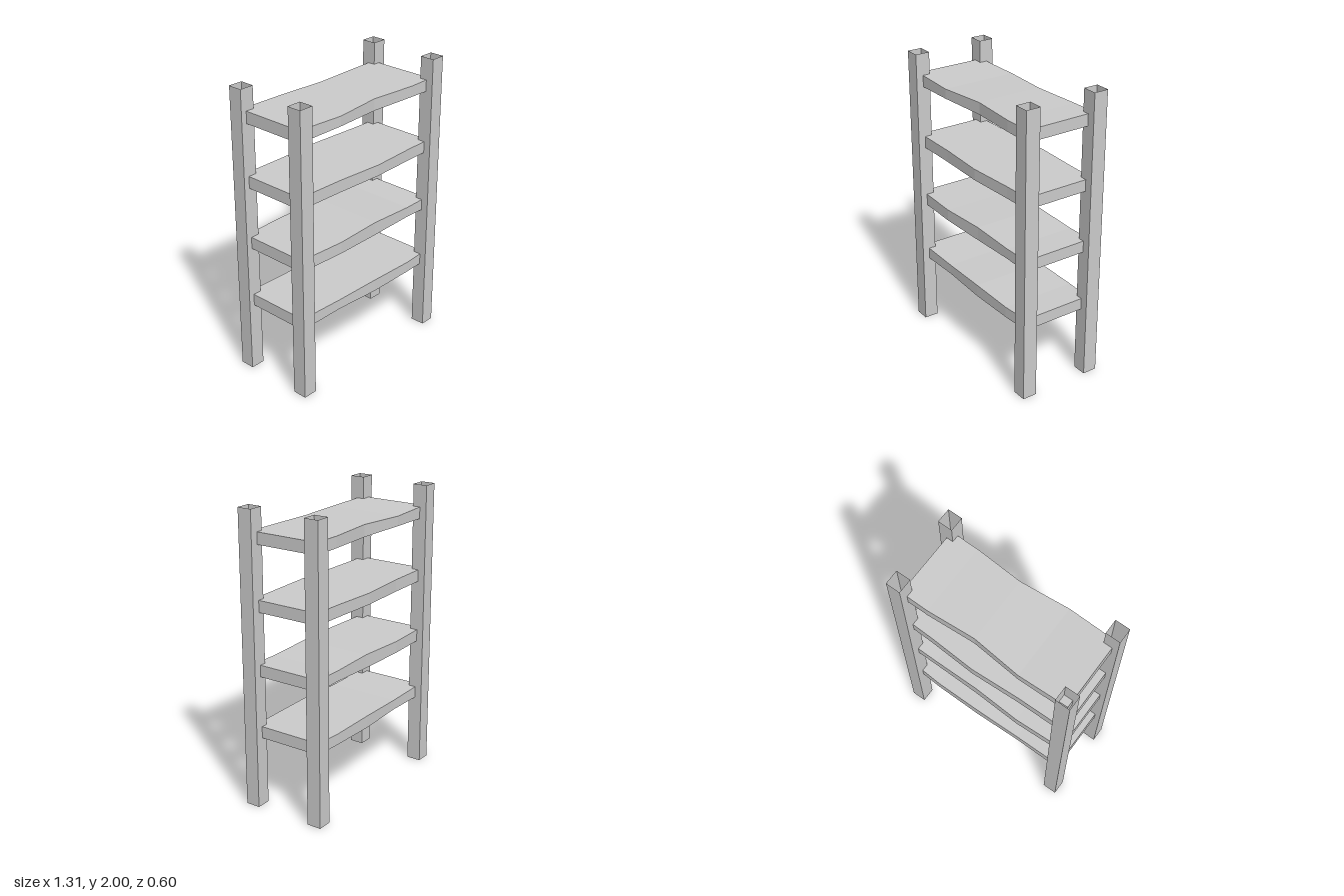
import * as THREE from 'three';

const material = new THREE.MeshStandardMaterial({ color: 0xcccccc, flatShading: true });
const openMaterial = new THREE.MeshStandardMaterial({ color: 0xcccccc, flatShading: true, side: THREE.DoubleSide });

// Cross-section positions along every plank
const stations = [-0.615, -0.27, 0.07, 0.4, 0.6];

// Plank with a hand-hewn outline: half depth and half thickness at each station
function makeShelf(y, depths, thicknesses) {
  const geometry = new THREE.BoxGeometry(4, 2, 2, 4, 1, 1);
  const p = geometry.attributes.position;
  for (let i = 0; i < p.count; i++) {
    const s = Math.round(p.getX(i) + 2);
    p.setXYZ(i, stations[s], p.getY(i) * thicknesses[s], p.getZ(i) * depths[s]);
  }
  geometry.computeVertexNormals();
  const shelf = new THREE.Mesh(geometry, material);
  shelf.position.y = y;
  return shelf;
}

export function createModel() {
  const group = new THREE.Group();

  // Four hollow square posts, open at both ends
  const postGeometry = new THREE.CylinderGeometry(0.1 / Math.SQRT2, 0.1 / Math.SQRT2, 2, 4, 1, true);
  postGeometry.rotateY(Math.PI / 4);
  for (const x of [-1, 1]) {
    for (const z of [-1, 1]) {
      const post = new THREE.Mesh(postGeometry, openMaterial);
      post.name = (z > 0 ? 'front' : 'back') + (x > 0 ? 'Left' : 'Right') + 'Post';
      post.position.set(x * 0.604, 1, z * 0.25);
      group.add(post);
    }
  }

  // Four uneven shelves, bottom to top: height, inner half depths, inner half thicknesses
  const shelves = [
    [0.52, [0.252, 0.262, 0.262], [0.034, 0.042, 0.037]],
    [0.945, [0.265, 0.25, 0.25], [0.04, 0.046, 0.035]],
    [1.375, [0.255, 0.272, 0.255], [0.041, 0.038, 0.04]],
    [1.81, [0.26, 0.228, 0.25], [0.033, 0.04, 0.037]],
  ];
  shelves.forEach(([y, depths, thicknesses], i) => {
    const shelf = makeShelf(y, [0.25, ...depths, 0.25], [0.041, ...thicknesses, 0.04]);
    shelf.name = 'shelf' + (i + 1);
    group.add(shelf);
  });

  return group;
}
